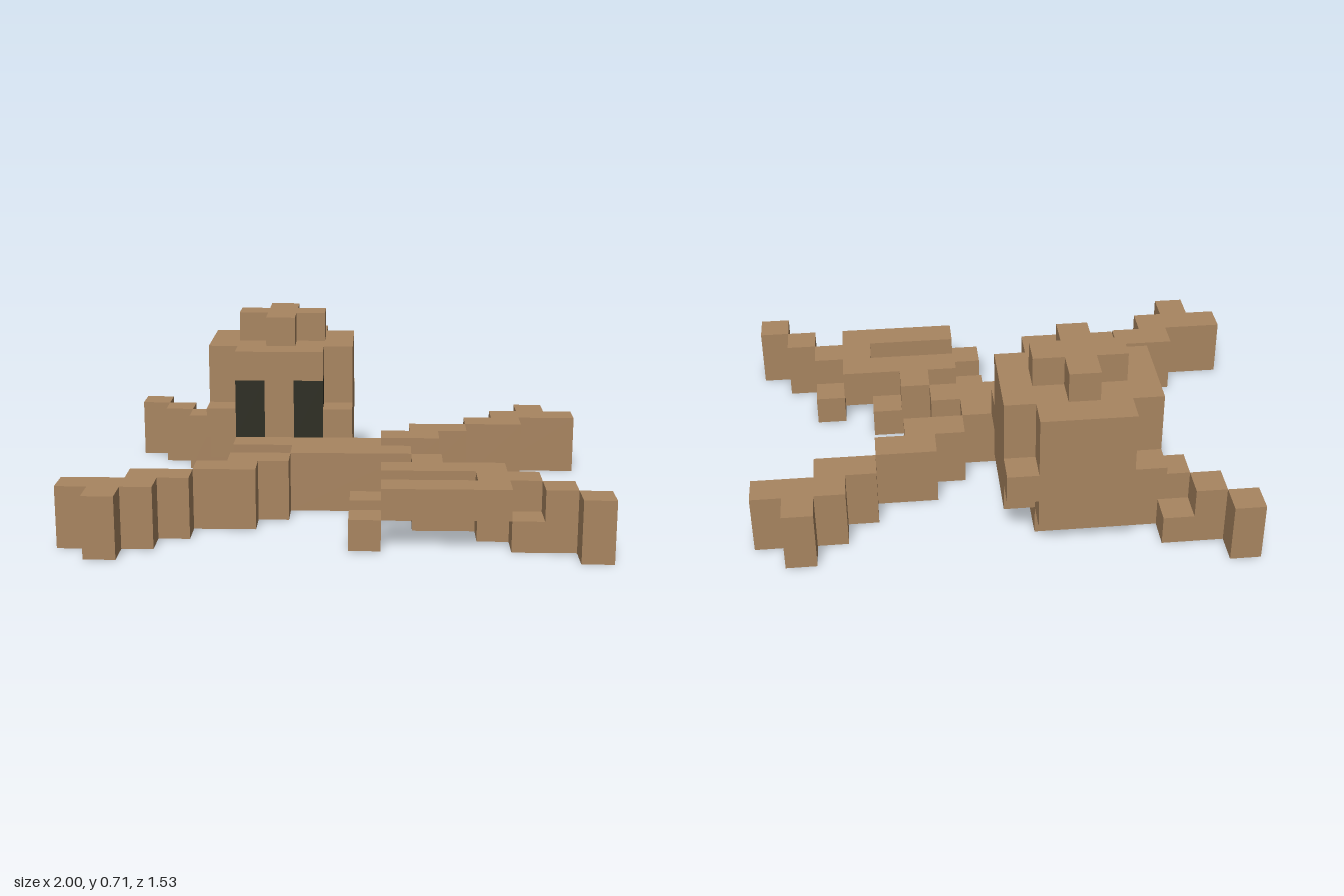
import * as THREE from 'three';

const U = 2 / 17; // one block

export function createModel() {
  const brown = new THREE.MeshStandardMaterial({ color: 0xa88560 });
  brown.name = 'brown';
  const dark = new THREE.MeshStandardMaterial({ color: 0x2d2d22 });
  dark.name = 'dark';

  const model = new THREE.Group();
  model.name = 'blockCreature';

  // Fills columns c0..c1 (x), rows r0..r1 (z) and layers l0..l1 (y)
  function block(parent, name, [c0, c1], [r0, r1], [l0, l1], mat = brown) {
    const geo = new THREE.BoxGeometry((c1 - c0 + 1) * U, (l1 - l0 + 1) * U, (r1 - r0 + 1) * U);
    const mesh = new THREE.Mesh(geo, mat);
    mesh.name = name;
    mesh.position.set(((c0 + c1 + 1) / 2 - 8.5) * U, ((l0 + l1 + 1) / 2) * U, ((r0 + r1 + 1) / 2 - 6.5) * U);
    parent.add(mesh);
  }

  function part(name) {
    const g = new THREE.Group();
    g.name = name;
    model.add(g);
    return g;
  }

  // Stepped limb: list of [row, first column, last column, first layer, last layer]
  function limb(name, steps) {
    const g = part(name);
    for (const [r, c0, c1, l0 = 0, l1 = 1] of steps) block(g, name + 'Step', [c0, c1], [r, r], [l0, l1]);
  }

  // Body
  const body = part('body');
  block(body, 'bodyBase', [5, 7], [2, 5], [0, 0]);
  block(body, 'bodyMiddle', [5, 9], [6, 6], [0, 1]);
  block(body, 'bodyFront', [7, 10], [7, 7], [0, 1]);

  // Limbs
  limb('backLeftLimb', [[5, 10, 11], [4, 11, 12], [3, 13, 14], [2, 14, 16], [1, 15, 15]]);
  limb('frontRightLimb', [[8, 5, 6], [9, 4, 5], [10, 2, 3], [11, 0, 2], [12, 1, 1]]);
  limb('backRightLimb', [[2, 3, 3], [2, 4, 4, 0, 0], [1, 3, 3, 0, 0], [1, 2, 2], [0, 1, 1]]);
  limb('frontLeftLimb', [
    [8, 10, 10, 0, 0], [8, 11, 11], [8, 12, 12, 0, 0],
    [9, 11, 12, 0, 0], [9, 14, 14, 0, 0], [10, 13, 14],
    [11, 14, 14, 0, 0], [11, 15, 15], [12, 16, 16],
  ]);

  // Raised prongs with lowered tips
  for (const r of [9, 11]) {
    limb(r === 9 ? 'innerProng' : 'outerProng', [[r, 10, 13, 1, 1], [r, 9, 9, 0, 0]]);
  }

  // Head
  const head = part('head');
  block(head, 'headCore', [4, 8], [2, 4], [1, 4]);
  block(head, 'headBack', [5, 7], [1, 1], [1, 4]);
  block(head, 'chin', [5, 7], [5, 5], [1, 1]);
  block(head, 'brow', [5, 7], [5, 5], [4, 4]);
  block(head, 'noseBridge', [6, 6], [5, 5], [2, 3]);
  for (const c of [4, 8]) {
    for (const r of [1, 5]) block(head, 'cheek', [c, c], [r, r], [2, 2]);
  }
  for (const c of [5, 7]) block(head, 'eye', [c, c], [5, 5], [2, 3], dark);

  // Crown cross
  block(head, 'crownBar', [5, 7], [3, 3], [5, 5]);
  for (const r of [2, 4]) block(head, 'crownKnob', [6, 6], [r, r], [5, 5]);

  return model;
}
